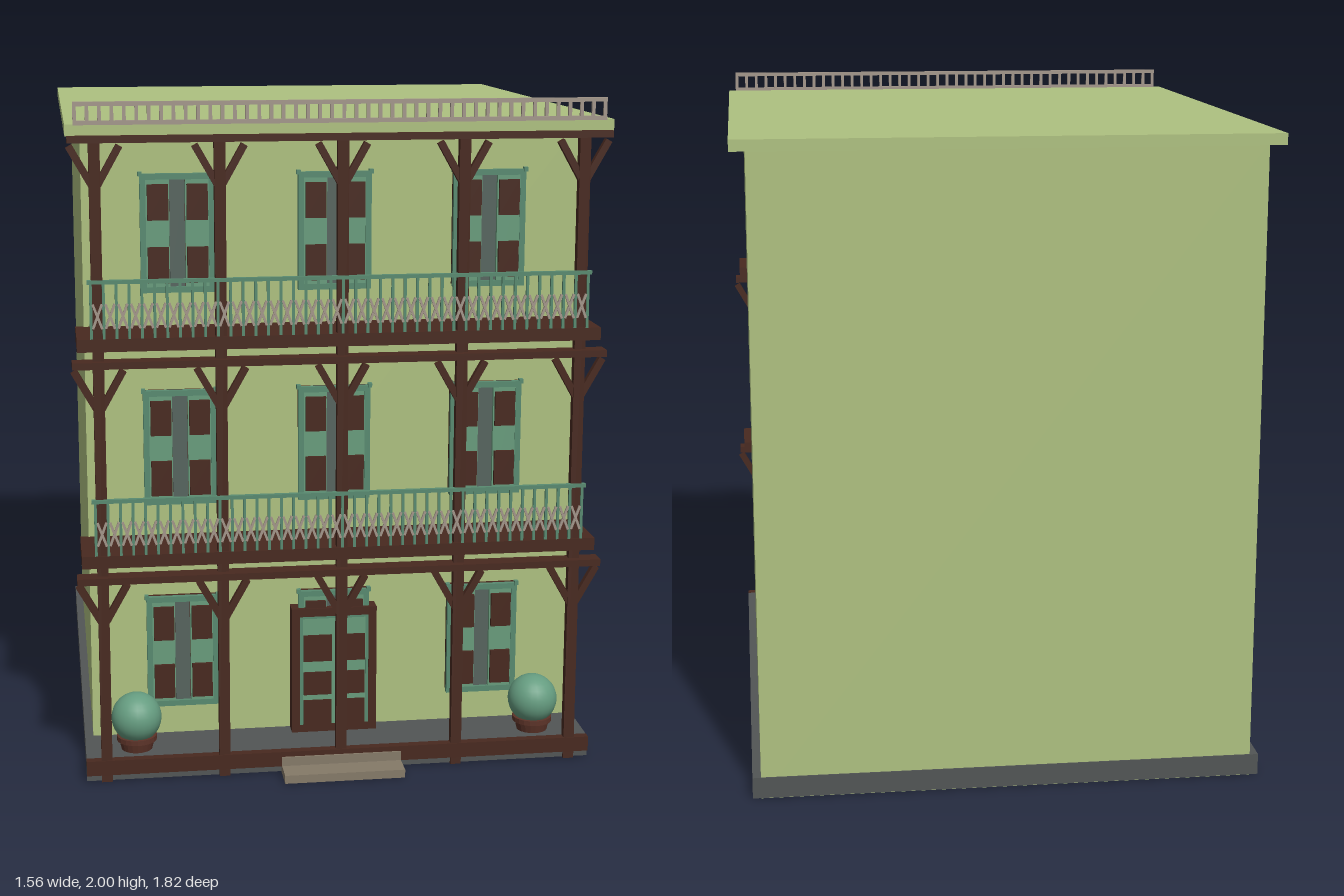
import * as THREE from 'three';
import { mergeGeometries } from 'three/addons/utils/BufferGeometryUtils.js';

const mat = (name, color) => {
  const m = new THREE.MeshStandardMaterial({ color });
  m.name = name;
  return m;
};

// Box geometry from its minimum and maximum corners
const span = (x0, x1, y0, y1, z0, z1) =>
  new THREE.BoxGeometry(x1 - x0, y1 - y0, z1 - z0)
    .translate((x0 + x1) / 2, (y0 + y1) / 2, (z0 + z1) / 2);

// Thin square bar between two points in the facade plane
const bar = (xa, ya, xb, yb, z, t) => {
  const dx = xb - xa, dy = yb - ya;
  return new THREE.BoxGeometry(t, Math.hypot(dx, dy), t)
    .rotateZ(-Math.atan2(dx, dy))
    .translate((xa + xb) / 2, (ya + yb) / 2, z);
};

// Four bars around a rectangular opening
const frame = (w, y0, y1, t, z0, z1) => [
  span(-w, -w + t, y0, y1, z0, z1),
  span(w - t, w, y0, y1, z0, z1),
  span(-w + t, w - t, y1 - t, y1, z0, z1),
  span(-w + t, w - t, y0, y0 + t, z0, z1),
];

export function createModel() {
  const M = {
    wall: mat('wallGreen', 0xaec180),
    wood: mat('darkWood', 0x48291f),
    stone: mat('foundationGrey', 0x525555),
    step: mat('stepTan', 0x857a68),
    trim: mat('trimGreen', 0x588a70),
    shutter: mat('shutterGreen', 0x689c7c),
    glass: mat('glassGrey', 0x56645e),
    iron: mat('ornamentTan', 0xa3968a),
    leaf: mat('leafGreen', 0x659c80),
    pot: mat('potBrown', 0x5c3328),
  };
  const model = new THREE.Group();
  model.name = 'balconyHouse';
  const add = (parent, name, material, ...geos) => {
    const mesh = new THREE.Mesh(geos.length > 1 ? mergeGeometries(geos) : geos[0], material);
    mesh.name = name;
    parent.add(mesh);
    return mesh;
  };
  const group = (name, parent = model) => {
    const g = new THREE.Group();
    g.name = name;
    parent.add(g);
    return g;
  };

  // Main masses
  add(model, 'walls', M.wall, span(-0.735, 0.735, 0, 1.91, -0.887, 0.625));
  add(model, 'roof', M.wall, span(-0.78, 0.78, 1.905, 1.938, -0.91, 0.835));
  add(model, 'foundation', M.stone, span(-0.76, 0.76, 0.002, 0.066, -0.89, 0.82));
  add(model, 'porchEdge', M.wood, span(-0.76, 0.76, 0.022, 0.067, 0.805, 0.832));
  add(model, 'steps', M.step,
    span(-0.18, 0.18, 0, 0.025, 0.8, 0.912),
    span(-0.18, 0.18, 0.025, 0.052, 0.8, 0.838));

  // Gallery posts, beams, decks and braces
  const gallery = group('gallery');
  const postX = [-0.7, -0.35, 0, 0.35, 0.7];
  add(gallery, 'posts', M.wood, ...postX.map(x => span(x - 0.016, x + 0.016, 0, 1.9, 0.803, 0.829)));
  for (const top of [0.635, 1.27, 1.907]) {
    add(gallery, 'beam', M.wood, span(-0.775, 0.775, top - 0.02, top, 0.797, 0.852));
    const braces = [];
    for (const x of postX) for (const s of [-1, 1])
      braces.push(bar(x + s * 0.008, top - 0.14, x + s * 0.07, top - 0.03, 0.816, 0.02));
    add(gallery, 'braces', M.wood, ...braces);
  }
  for (const y of [0.66, 1.297])
    add(gallery, 'deck', M.wood, span(-0.76, 0.76, y, y + 0.037, 0.62, 0.834));

  // Balcony railings with crossed ornaments between the balusters
  const n = 40, reach = 0.718, pitch = 2 * reach / n;
  for (const y of [0.697, 1.334]) {
    const rail = group('balconyRailing');
    const green = [span(-0.728, 0.728, y + 0.157, y + 0.168, 0.822, 0.836)];
    const crosses = [];
    for (let i = 0; i <= n; i++) {
      const x = -reach + i * pitch;
      green.push(span(x - 0.004, x + 0.004, y, y + 0.158, 0.826, 0.834));
      if (i === n) continue;
      const a = x + 0.005, b = x + pitch - 0.005;
      crosses.push(bar(a, y + 0.03, b, y + 0.1, 0.831, 0.007),
        bar(b, y + 0.03, a, y + 0.1, 0.834, 0.007));
    }
    add(rail, 'balusters', M.trim, ...green);
    add(rail, 'crossOrnaments', M.iron, ...crosses);
  }

  // Roof balustrade
  const crest = [
    span(-0.757, 0.757, 1.988, 2, 0.829, 0.842),
    span(-0.757, 0.757, 1.936, 1.948, 0.83, 0.841),
  ];
  for (let i = 0; i <= 44; i++) {
    const x = -0.752 + i * 1.504 / 44;
    crest.push(span(x - 0.005, x + 0.005, 1.94, 1.99, 0.831, 0.839));
  }
  add(model, 'roofBalustrade', M.iron, ...crest);

  // Shuttered windows, three on each floor: deep wood casing, shallow green trim
  for (const y of [0.17, 0.803, 1.44]) for (const x of [-0.46, 0, 0.46]) {
    const w = group('window');
    w.position.set(x, y, 0);
    add(w, 'casing', M.wood, span(-0.105, 0.105, 0, 0.338, 0.62, 0.65));
    add(w, 'trim', M.trim, ...frame(0.108, -0.004, 0.342, 0.017, 0.65, 0.666),
      ...[-0.107, 0.107].map(k => span(k - 0.006, k + 0.006, 0.335, 0.348, 0.65, 0.668)));
    add(w, 'glass', M.glass, span(-0.022, 0.022, 0.013, 0.325, 0.648, 0.655));
    const leaves = [], panels = [];
    for (const s of [-1, 1]) {
      const a = s < 0 ? -0.091 : 0.023, b = a + 0.068;
      leaves.push(span(a, b, 0.013, 0.325, 0.648, 0.664));
      for (const [p, q] of [[0.025, 0.13], [0.208, 0.312]])
        panels.push(span(a + 0.004, b - 0.003, p, q, 0.66, 0.674));
    }
    add(w, 'shutters', M.shutter, ...leaves);
    add(w, 'shutterPanels', M.wood, ...panels);
  }

  // Front door with paired panels
  const door = group('frontDoor');
  add(door, 'doorCasing', M.wood, ...frame(0.13, 0.064, 0.46, 0.025, 0.62, 0.679));
  add(door, 'doorTrim', M.trim, ...frame(0.106, 0.064, 0.438, 0.01, 0.64, 0.678));
  add(door, 'doorLeaf', M.shutter, span(-0.1, 0.1, 0.064, 0.434, 0.62, 0.676));
  const doorPanels = [];
  for (const [p, q] of [[0.075, 0.168], [0.185, 0.258], [0.292, 0.376]])
    for (const x of [-0.094, 0.008]) doorPanels.push(span(x, x + 0.086, p, q, 0.673, 0.68));
  add(door, 'doorPanels', M.wood, ...doorPanels);

  // Potted round shrubs
  const profile = [[0, 0], [0.046, 0], [0.053, 0.03], [0.06, 0.03], [0.06, 0.045], [0, 0.045]]
    .map(p => new THREE.Vector2(...p));
  for (const s of [-1, 1]) {
    const plant = group('pottedShrub');
    plant.position.set(s * 0.607, 0.064, 0.735);
    add(plant, 'shrub', M.leaf, new THREE.SphereGeometry(0.075, 24, 16).translate(0, 0.1, 0));
    const pot = new THREE.LatheGeometry(profile, 20).toNonIndexed();
    pot.computeVertexNormals();
    add(plant, 'pot', M.pot, pot);
  }
  return model;
}
